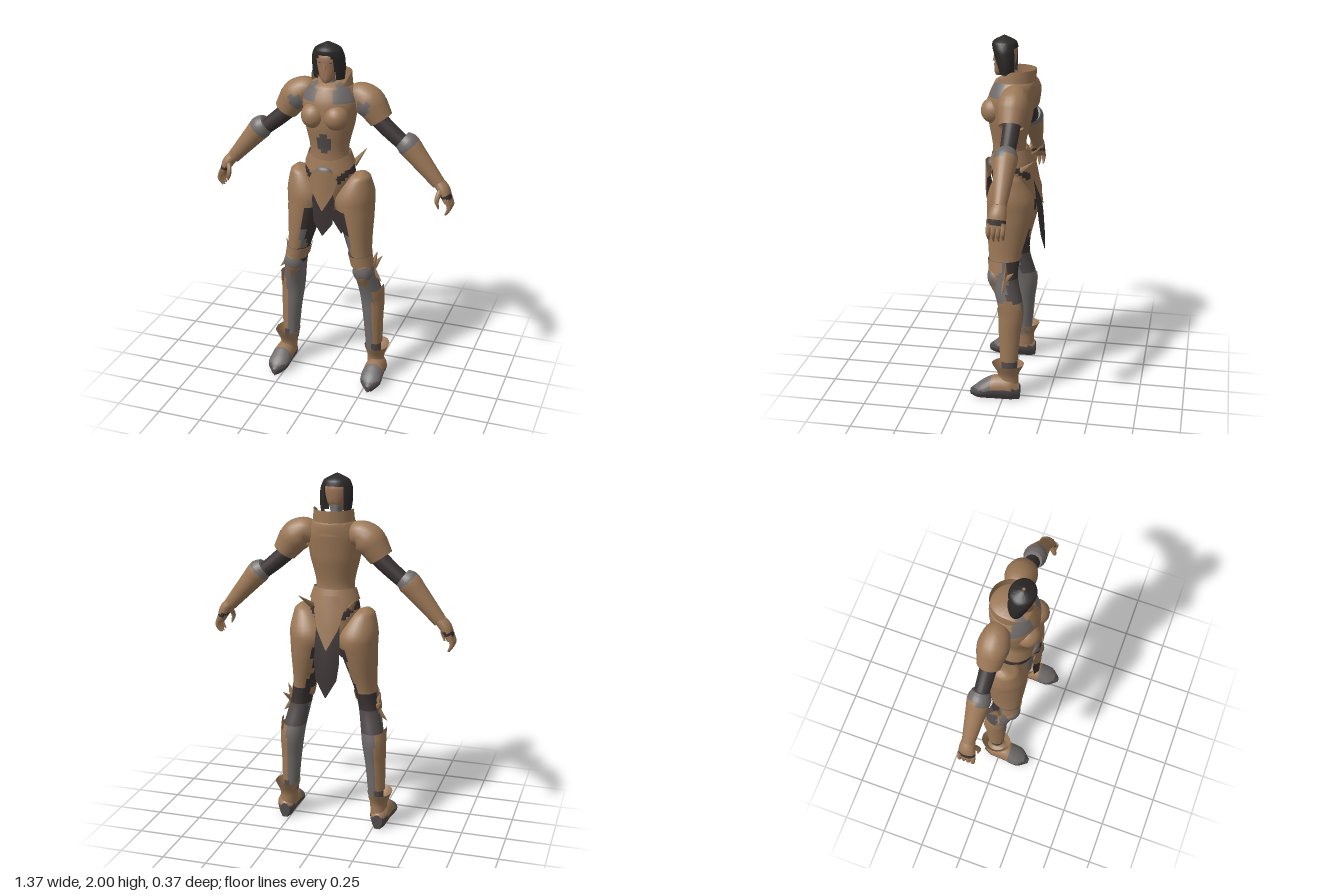
import * as THREE from 'three';
import { toCreasedNormals } from 'three/addons/utils/BufferGeometryUtils.js';

const mat = (name, color) => new THREE.MeshStandardMaterial({ name, color, side: THREE.DoubleSide });
const MATS = [
  mat('tan armour', 0x9c7857), mat('skin', 0x9a7256), mat('dark cloth', 0x3b3333),
  mat('charcoal', 0x524c4b), mat('grey metal', 0x706b6b), mat('hair', 0x2b2727),
];
const [TAN, SKIN, DARK, CHAR, GREY, HAIR] = MATS.keys();
const V = (x, y, z) => new THREE.Vector3(x, y, z);
const UP = V(0, 1, 0);

function makeMesh(name, geometry, material) {
  const mesh = new THREE.Mesh(toCreasedNormals(geometry, 0.7), material);
  mesh.name = name;
  return mesh;
}

// Smooth skin through sections [x, y, z, halfWidth, halfDepth]; colour(p, angle) picks a material, -1 leaves a gap.
function loft(name, secs, colour, { n = 20, sub = 5, ref = V(0, 0, 1), axis = null, open = false, warp = null } = {}) {
  const path = new THREE.CatmullRomCurve3(secs.map(s => V(s[0], s[1], s[2])));
  const size = new THREE.CatmullRomCurve3(secs.map(s => V(s[3], s[4], 0)));
  const rows = (secs.length - 1) * sub, faces = MATS.map(() => []), pts = [];
  const pick = (p, a) => (typeof colour === 'function' ? colour(p, a) : colour);
  for (let i = 0; i <= rows; i++) {
    const c = path.getPoint(i / rows), r = size.getPoint(i / rows);
    const T = axis || path.getTangent(i / rows);
    const v = ref.clone().addScaledVector(T, -ref.dot(T)).normalize();
    const u = T.clone().cross(v);
    for (let j = 0; j < n; j++) {
      const a = j / n * Math.PI * 2;
      const p = c.clone().addScaledVector(u, r.x * Math.cos(a)).addScaledVector(v, r.y * Math.sin(a));
      if (warp) warp(p, i / rows);
      pts.push(p);
    }
  }
  for (let i = 0; i < rows; i++) for (let j = 0; j < n; j++) {
    const a = i * n + j, b = i * n + (j + 1) % n, c = a + n, d = b + n;
    const mid = pts[a].clone().add(pts[b]).add(pts[c]).add(pts[d]).multiplyScalar(0.25);
    const m = pick(mid, (j + 0.5) / n * 360);
    if (m >= 0) faces[m].push(a, c, b, b, c, d);
  }
  if (!open) for (const end of [0, rows]) {
    const mid = V(0, 0, 0);
    for (let j = 0; j < n; j++) mid.addScaledVector(pts[end * n + j], 1 / n);
    const m = pick(mid, 0), id = pts.push(mid) - 1;
    for (let j = 0; j < n; j++) {
      const a = end * n + j, b = end * n + (j + 1) % n;
      faces[m].push(id, end ? b : a, end ? a : b);
    }
  }
  const g = new THREE.BufferGeometry().setFromPoints(pts);
  g.setIndex(faces.flat());
  const used = [...MATS.keys()].filter(m => faces[m].length);
  let start = 0;
  used.forEach((m, i) => { g.addGroup(start, faces[m].length, i); start += faces[m].length; });
  if (used.length === 1) g.clearGroups();
  return makeMesh(name, g, used.length > 1 ? used.map(m => MATS[m]) : MATS[used[0]]);
}

// Upright central part from rows [y, z, halfWidth, halfDepth].
const column = (name, rows, colour, opts) =>
  loft(name, rows.map(r => [0, ...r]), colour, { axis: UP, n: 36, ...opts });

// Round arm part from points [x, y, radius].
const armPart = (name, pts, colour, opts) =>
  loft(name, pts.map(([x, y, r]) => [x, y, -0.043, r, r * 0.97]), colour, opts);

// Pointed blade from base to tip.
const spike = (name, a, b, r) =>
  loft(name, [[...a, r, r * 0.6], [...b, 0.001, 0.001]], TAN, { n: 6, sub: 2 });

function ball(name, m, [x, y, z], [rx, ry, rz]) {
  return makeMesh(name, new THREE.SphereGeometry(1, 20, 14).scale(rx, ry, rz).translate(x, y, z), MATS[m]);
}

// Hanging cloth from rows [y, halfWidth], laid on the surface z = zAt(x, y).
function panel(name, m, rows, zAt) {
  const g = new THREE.PlaneGeometry(2, 1, 4, rows.length - 1), p = g.attributes.position;
  for (let i = 0; i < p.count; i++) {
    const [y, w] = rows[Math.floor(i / 5)], x = p.getX(i) * w;
    p.setXYZ(i, x, y, zAt(x, y));
  }
  return makeMesh(name, g, MATS[m]);
}

// Reflected copy with corner order restored.
function mirror(mesh) {
  const g = mesh.geometry.clone().scale(-1, 1, 1);
  for (const at of Object.values(g.attributes)) for (let i = 0; i < at.count; i += 3) for (let k = 0; k < at.itemSize; k++) {
    const t = at.getComponent(i, k);
    at.setComponent(i, k, at.getComponent(i + 2, k));
    at.setComponent(i + 2, k, t);
  }
  const m = new THREE.Mesh(g, mesh.material);
  m.name = mesh.name;
  return m;
}

function addTorso(add) {
  add(column('torso', [[1.33, .01, .115, .092], [1.4, .015, .107, .09], [1.56, .01, .14, .12], [1.67, 0, .153, .127],
    [1.76, -.02, .115, .11], [1.78, -.02, .08, .08]], p => {
    if (p.z > 0 && Math.hypot(p.x / .042, (p.y - 1.455) / .05) < 1) return CHAR;
    return p.z > .02 && p.y > 1.69 && Math.abs(p.x) > .05 ? GREY : TAN;
  }, { sub: 7 }));
  add(column('collar', [[1.69, -.01, .135, .122], [1.75, -.015, .115, .115], [1.825, -.02, .108, .112]], TAN,
    { open: true, warp: (p, t) => { p.y -= Math.max(0, p.z + .01) * t * .85; } }));
  add(column('pelvis', [[1.03, -.02, .03, .05], [1.1, -.02, .1, .1], [1.26, 0, .142, .114], [1.38, .01, .11, .09]], p =>
    Math.abs(p.x) > .045 && Math.abs(p.y - 1.2 - Math.abs(p.x) * .7) < .022 ? DARK : TAN, { sub: 9 }));
  add(column('belt', [[1.325, .005, .14, .115], [1.39, .01, .118, .1]], TAN,
    { open: true, warp: p => { p.y -= Math.max(0, p.z) * .3; } }));
  add(ball('buckle', GREY, [0, 1.295, .108], [.05, .032, .026]));
  add(ball('rearBuckle', GREY, [0, 1.32, -.095], [.045, .025, .02]));

  // Loincloths: a tan apron over a longer dark cloth
  const front = (x, y) => .14 - 4 * x * x, rear = (x, y) => -.185 + .24 * (y - .8) ** 2 + 3 * x * x;
  add(panel('frontApron', TAN, [[1.31, .05], [1.25, .082], [1.17, .055], [1.08, .003]], (x, y) => front(x, y) + .008));
  add(panel('frontCloth', DARK, [[1.2, .05], [1.14, .065], [1, .055], [.93, .003]], front));
  add(panel('rearApron', TAN, [[1.36, .06], [1.28, .085], [1.18, .06], [1.07, .003]], (x, y) => rear(x, y) - .008));
  add(panel('rearCloth', DARK, [[1.3, .05], [1.2, .065], [1.1, .07], [1, .072], [.9, .06], [.8, .003]], rear));
}

function addHead(add) {
  add(column('neck', [[1.72, -.005, .055, .05], [1.77, .01, .042, .042], [1.85, .03, .042, .042]], GREY));
  add(column('head', [[1.787, .07, .016, .02], [1.805, .058, .034, .038], [1.845, .04, .052, .057],
    [1.92, .035, .065, .062], [1.98, .03, .035, .035]], SKIN));
  add(column('nose', [[1.862, .094, .01, .012], [1.91, .09, .005, .005]], SKIN, { n: 8 }));
  add(column('hair', [[1.8, .02, .084, .048], [1.86, .025, .091, .06], [1.92, .034, .089, .068],
    [1.965, .04, .072, .066], [2, .042, .008, .008]], p => {
    const x = Math.abs(p.x), face = p.z > .03 && x < .05 - Math.max(0, p.y - 1.9) * .5;
    return p.y < 1.943 && (face || (p.z < .02 && x < .055)) ? -1 : HAIR;
  }, { n: 48, open: true }));
}

function addArm(add) {
  add(ball('breast', TAN, [.064, 1.605, .09], [.069, .07, .069]));
  add(ball('eye', DARK, [.026, 1.898, .087], [.011, .004, .006]));
  add(armPart('pauldron', [[.11, 1.69, .057], [.155, 1.695, .076], [.205, 1.665, .087], [.265, 1.585, .064]], p =>
    p.z > .005 && p.y < 1.68 && p.x < .225 && p.x > .16 ? GREY : TAN));
  add(armPart('pauldronRim', [[.225, 1.645, .083], [.272, 1.575, .067]], TAN, { open: true }));
  add(spike('pauldronSpike', [.265, 1.635, -.04], [.282, 1.705, -.04], .025));
  add(armPart('upperArm', [[.19, 1.64, .05], [.3, 1.535, .046], [.44, 1.42, .04]], DARK));
  add(armPart('forearm', [[.39, 1.475, .052], [.425, 1.45, .065], [.47, 1.4, .058], [.6, 1.25, .037]], p =>
    p.x - p.y < (p.z > -.045 ? -1 : -1.03) ? GREY : TAN, { n: 24, sub: 7 }));
  // Hand with curled fingers
  add(loft('palm', [[.59, 1.265, -.045, .03, .034], [.63, 1.22, -.04, .033, .045], [.658, 1.155, -.036, .02, .048]],
    p => p.y > 1.18 && p.y < 1.2 ? DARK : TAN));
  add(loft('thumb', [[.618, 1.225, -.015, .016, .016], [.605, 1.17, .012, .013, .013], [.616, 1.125, .01, .004, .004]], TAN, { n: 8 }));
  for (let i = 0; i < 4; i++) {
    const z = -.073 + i * .025, tip = 1.08 + Math.abs(i - 1.6) * .008;
    add(loft('finger', [[.656, 1.18, z, .013, .013], [.671, 1.13, z, .012, .012], [.652, tip, z, .004, .004]], TAN, { n: 8 }));
  }
}

function addLeg(add) {
  const leg = [[.255, .16, -.03, .042, .042], [.245, .38, -.032, .054, .058], [.235, .52, -.036, .064, .07],
    [.202, .7, .008, .06, .076], [.182, .8, .01, .062, .085], [.147, 1.02, -.01, .1, .122],
    [.135, 1.12, -.015, .115, .13], [.168, 1.255, 0, .06, .07], [.185, 1.28, 0, .015, .025]];
  const style = { n: 28, sub: 7, axis: UP };
  // Tan thigh and shin over a dark and grey undersuit
  add(loft('leg', leg, p => {
    if (p.y < .24) return p.x > .25 ? CHAR : GREY;
    if (p.y < .58) return p.x > .258 ? TAN : GREY;
    if (p.y < .7) return p.z < -.02 ? CHAR : GREY;
    if (p.y < .8) return p.z < 0 || p.x < .17 ? DARK : GREY;
    const inner = p.z > 0 ? .125 + Math.max(0, .98 - p.y) * .2 : .1 + Math.max(0, .92 - p.y) * .55;
    if (p.y > 1.06 || p.x > inner) return TAN;
    return p.y < .93 && p.z > .02 && p.x > .12 ? GREY : DARK;
  }, style));
  // Raised shin plate and knee strap, following the leg
  add(loft('legPlates', leg.slice(0, 5).map(([x, y, z, a, b]) => [x, y, z, a + .007, b + .007]), (p, a) => {
    const shin = (a < 62 || a > 290) && p.y > .22 && p.y < .6 - Math.abs(p.z + .03) * .8;
    const strap = a < 215 && p.y > .745 - p.z * .2;
    return shin || strap ? TAN : -1;
  }, { ...style, open: true, warp: p => { if (p.x > .24 && p.y < .6) p.x += Math.max(0, p.y - .5) * .15; } }));
  add(loft('kneeGuard', [[.222, .6, .045, .012, .01], [.206, .7, .055, .055, .046], [.192, .8, .07, .008, .01]],
    p => p.y > .67 && p.y < .735 && p.z > .05 ? GREY : TAN));
  for (const tip of [[.272, .805, -.015], [.305, .63, .005], [.288, .76, -.06]])
    add(spike('kneeSpike', [.24, .7, -.005], tip, .027));
  add(spike('hipSpike', [.11, 1.29, -.07], [.16, 1.36, -.15], .02));
  // Boot
  add(loft('bootCuff', [[.275, .05, -.025, .05, .062], [.27, .13, -.027, .048, .057], [.276, .21, -.026, .07, .09]], TAN,
    { open: true, axis: UP }));
  add(loft('foot', [[.277, .045, -.092, .03, .04], [.279, .066, -.04, .056, .066], [.281, .065, .05, .059, .066],
    [.284, .045, .125, .06, .046], [.286, .026, .187, .014, .014]], p => {
    if (p.y < .035) return CHAR;
    if (p.z > .07) return p.y < .055 ? CHAR : GREY;
    return p.y < .07 ? CHAR : TAN;
  }, { n: 24, ref: UP, axis: V(0, 0, 1), warp: p => { if (p.y < .012) p.y = 0; } }));
}

export function createModel() {
  const model = new THREE.Group(), left = new THREE.Group(), right = new THREE.Group();
  model.name = 'armouredWoman';
  left.name = 'leftSide';
  right.name = 'rightSide';
  const addBoth = m => { left.add(m); right.add(mirror(m)); };
  addTorso(m => model.add(m));
  addHead(m => model.add(m));
  addArm(addBoth);
  addLeg(addBoth);
  model.add(left, right);
  return model;
}
